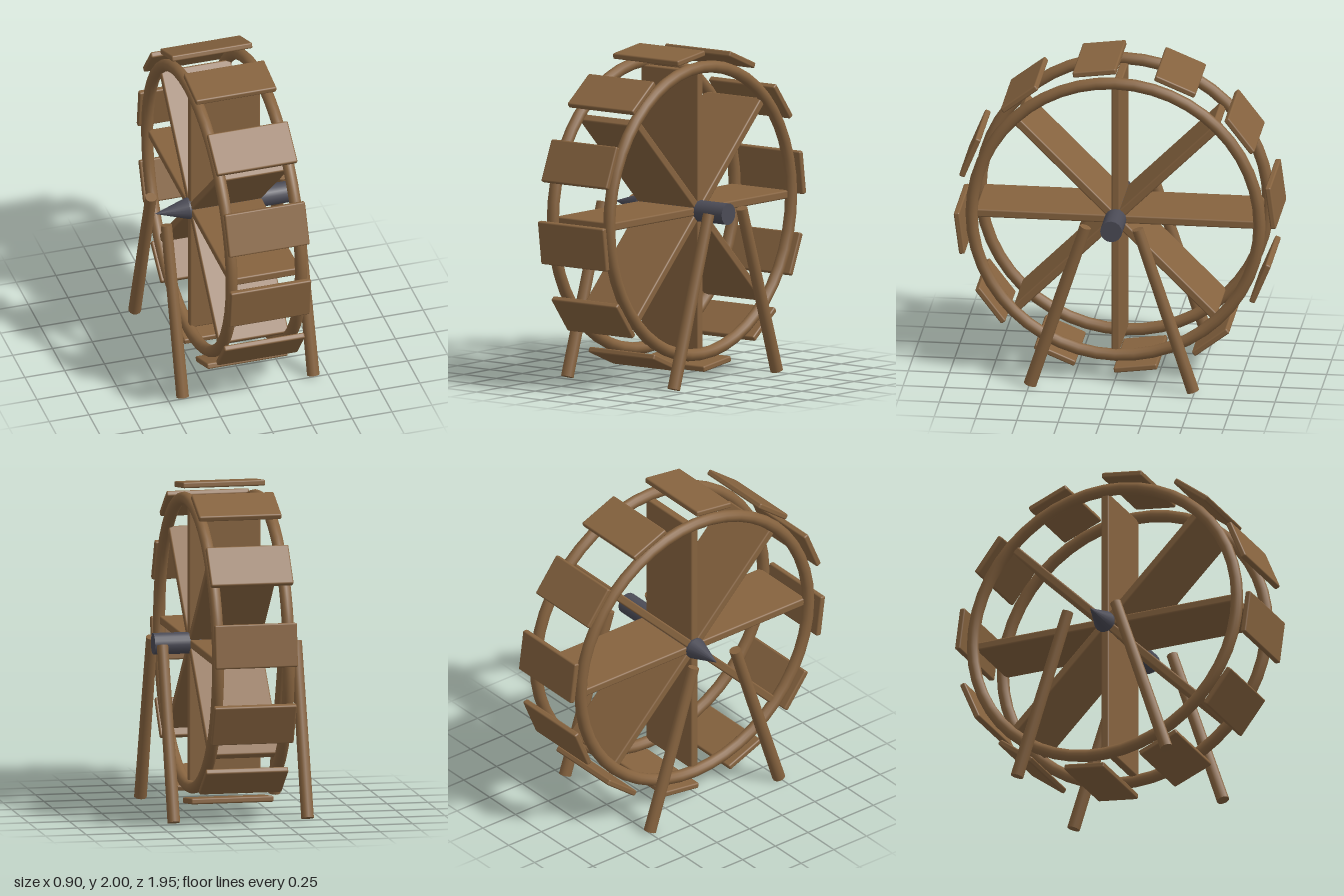
import * as THREE from 'three';
import { RoundedBoxGeometry } from 'three/addons/geometries/RoundedBoxGeometry.js';

const wood = new THREE.MeshStandardMaterial({ color: 0x86633f });
wood.name = 'wood';
const iron = new THREE.MeshStandardMaterial({ color: 0x4b4b56 });
iron.name = 'iron';

const HUB_Y = 1.021;

function add(parent, name, geometry, material) {
  const mesh = new THREE.Mesh(geometry, material);
  mesh.name = name;
  parent.add(mesh);
  return mesh;
}

// Tapered round post between two points
function addPost(parent, name, bottom, top, rBottom, rTop) {
  const dir = top.clone().sub(bottom);
  const post = add(parent, name, new THREE.CylinderGeometry(rTop, rBottom, dir.length(), 12), wood);
  post.position.copy(bottom).add(top).multiplyScalar(0.5);
  post.quaternion.setFromUnitVectors(new THREE.Vector3(0, 1, 0), dir.normalize());
}

export function createModel() {
  const model = new THREE.Group();
  model.name = 'waterWheel';

  const wheel = new THREE.Group();
  wheel.name = 'wheel';
  wheel.position.y = HUB_Y;
  model.add(wheel);

  // Two round rims
  const rimGeo = new THREE.TorusGeometry(0.871, 0.037, 12, 48).rotateY(Math.PI / 2);
  for (const side of [-1, 1]) {
    add(wheel, side > 0 ? 'leftRim' : 'rightRim', rimGeo, wood).position.x = side * 0.217;
  }

  // Wide boards crossing at the hub, forming eight spokes
  const boardGeo = new RoundedBoxGeometry(0.44, 1.7, 0.05, 2, 0.01);
  for (let i = 0; i < 4; i++) {
    add(wheel, 'spokeBoard', boardGeo, wood).rotation.x = (i * Math.PI) / 4;
  }

  // Twelve paddles standing off the rims, tangent to the wheel
  const paddleGeo = new RoundedBoxGeometry(0.506, 0.036, 0.265, 2, 0.01);
  for (let i = 0; i < 12; i++) {
    const a = THREE.MathUtils.degToRad(7.5 + i * 30);
    const paddle = add(wheel, 'paddle', paddleGeo, wood);
    paddle.position.set(0, 0.95 * Math.cos(a), 0.95 * Math.sin(a));
    paddle.rotation.x = a;
  }

  // Axle: blunt on the left, pointed on the right
  const axle = add(wheel, 'axle', new THREE.CylinderGeometry(0.066, 0.066, 0.665, 16).rotateZ(-Math.PI / 2), iron);
  axle.position.x = 0.1025;
  const tip = add(wheel, 'axleTip', new THREE.ConeGeometry(0.066, 0.205, 16).rotateZ(Math.PI / 2), iron);
  tip.position.x = -0.3325;

  // Splayed support legs, a pair on each side
  for (const x of [-0.41, 0.41]) {
    for (const s of [-1, 1]) {
      addPost(model, 'supportLeg',
        new THREE.Vector3(x, 0.012, s * 0.493),
        new THREE.Vector3(x, 1.036, s * 0.158), 0.039, 0.035);
    }
  }
  return model;
}
